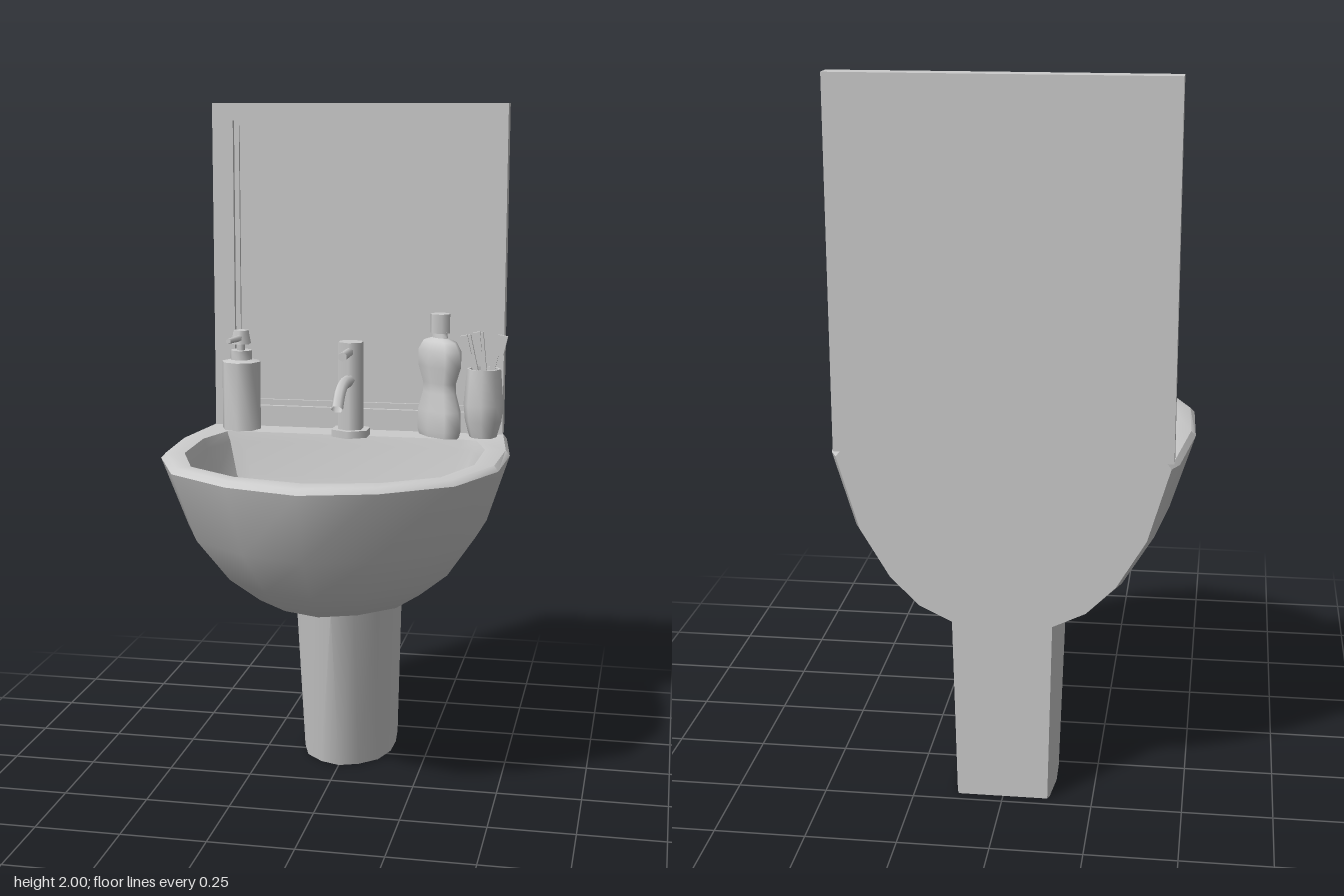
import * as THREE from 'three';
import { toCreasedNormals } from 'three/addons/utils/BufferGeometryUtils.js';

const material = new THREE.MeshStandardMaterial({ color: 0xcccccc });
const twoSided = new THREE.MeshStandardMaterial({ color: 0xcccccc, side: THREE.DoubleSide });

function add(parent, name, geometry, x = 0, y = 0, z = 0, mat = material) {
  const mesh = new THREE.Mesh(geometry, mat);
  mesh.name = name;
  mesh.position.set(x, y, z);
  parent.add(mesh);
  return mesh;
}

const group = (parent, name, x, y, z) => {
  const g = new THREE.Group();
  g.name = name;
  g.position.set(x, y, z);
  parent.add(g);
  return g;
};

const lathe = (profile, sides) =>
  toCreasedNormals(new THREE.LatheGeometry(profile.map(([r, y]) => new THREE.Vector2(r, y)), sides), 1.1);

// Mirrors a half outline (front to back, first point on the axis) into a closed ring
const fullRing = half => [...half, ...half.slice(1).reverse().map(([x, z]) => [-x, z])];

// Skins closed rings and caps both ends
function loft(rings) {
  const n = rings[0].length, pos = rings.flat(2), index = [];
  for (let i = 0; i < rings.length - 1; i++) {
    for (let j = 0; j < n; j++) {
      const a = i * n + j, b = i * n + (j + 1) % n;
      index.push(a, a + n, b, b, a + n, b + n);
    }
  }
  const last = (rings.length - 1) * n;
  for (let j = 1; j < n - 1; j++) {
    index.push(0, j, j + 1, last, last + j + 1, last + j);
  }
  const g = new THREE.BufferGeometry();
  g.setAttribute('position', new THREE.Float32BufferAttribute(pos, 3));
  g.setIndex(index);
  return toCreasedNormals(g, 0.85);
}

function makeBasin(root) {
  const outer = fullRing([[0, 0.47], [0.21, 0.41], [0.4, 0.275], [0.495, 0.06], [0.505, -0.17], [0.47, -0.43], [0.45, -0.47]]);
  const inner = fullRing([[0, 0.38], [0.2, 0.335], [0.35, 0.23], [0.42, 0.05], [0.425, -0.17], [0.385, -0.3], [0.34, -0.31]]);
  // Bowl ring: scale towards the drain, height
  const bowl = (s, y) => inner.map(([x, z]) => [x * s, y, -0.07 + (z + 0.07) * s]);
  // Shell ring: half width, front z, height; the back stays flat
  const shell = (w, f, y) => outer.map(([x, z]) => [x * w / 0.505, y, -0.47 + (z + 0.47) * (f + 0.47) / 0.94]);
  add(root, 'basin', loft([
    bowl(0.15, 0.62), bowl(0.5, 0.65), bowl(0.76, 0.74), bowl(0.92, 0.87), bowl(0.98, 0.97), bowl(1.01, 1),
    shell(0.49, 0.455, 1), shell(0.503, 0.47, 0.985), shell(0.435, 0.395, 0.78),
    shell(0.345, 0.28, 0.645), shell(0.255, 0.18, 0.565), shell(0.15, 0, 0.52),
  ]));
  add(root, 'pedestal', loft([shell(0.153, 0, 0.525), shell(0.14, -0.125, 0)]));
  add(root, 'drain', new THREE.CylinderGeometry(0.05, 0.055, 0.02, 6), 0, 0.63, -0.07);
}

function makeMirror(root) {
  const mirror = group(root, 'mirror', 0, 0, -0.472);
  const rect = (P, x, y0, y1) => {
    const p = new P();
    p.moveTo(-x, y0); p.lineTo(x, y0); p.lineTo(x, y1); p.lineTo(-x, y1); p.closePath();
    return p;
  };
  const ring = (x, y0, y1, hx, hy0, hy1, depth) => {
    const s = rect(THREE.Shape, x, y0, y1);
    s.holes.push(rect(THREE.Path, hx, hy0, hy1));
    return new THREE.ExtrudeGeometry(s, { depth, bevelEnabled: false });
  };
  add(mirror, 'mirrorFrame', ring(0.455, 1, 2, 0.39, 1.065, 1.947, 0.056));
  add(mirror, 'innerFrame', ring(0.39, 1.065, 1.947, 0.375, 1.083, 1.932, 0.04));
  add(mirror, 'glass', new THREE.BoxGeometry(0.78, 0.88, 0.03), 0, 1.506, 0.015);
}

function makeFaucet(root) {
  const faucet = group(root, 'faucet', 0, 1, -0.313);
  add(faucet, 'faucetBase', new THREE.CylinderGeometry(0.063, 0.063, 0.022, 6), 0, 0.011, 0);
  add(faucet, 'faucetColumn', new THREE.CylinderGeometry(0.041, 0.041, 0.29, 6), 0, 0.145, 0);
  const path = new THREE.CatmullRomCurve3([[0.175, 0.02], [0.175, 0.13], [0.158, 0.18], [0.118, 0.218]]
    .map(([y, z]) => new THREE.Vector3(0, y, z)));
  add(faucet, 'spout', new THREE.TubeGeometry(path, 8, 0.018, 6), 0, 0, 0, twoSided);
  const handle = add(faucet, 'handle', new THREE.CylinderGeometry(0.014, 0.014, 0.12, 6), 0, 0.262, 0.077);
  handle.rotation.x = Math.PI / 2;
}

function makeDispenser(root) {
  const soap = group(root, 'soapDispenser', -0.358, 1, -0.367);
  add(soap, 'soapBody', lathe([[0, 0], [0.061, 0], [0.061, 0.212], [0.034, 0.218], [0.034, 0.247], [0, 0.247]], 8));
  add(soap, 'pumpStem', new THREE.CylinderGeometry(0.013, 0.013, 0.04, 6), 0, 0.262, 0);
  add(soap, 'pumpHead', new THREE.CylinderGeometry(0.024, 0.032, 0.042, 6), 0, 0.288, 0);
  const nozzle = add(soap, 'nozzle', new THREE.CylinderGeometry(0.008, 0.011, 0.09, 6), 0.002, 0.286, 0.052);
  nozzle.rotation.set(Math.PI / 2, 0, 0.2);
  nozzle.position.x = -0.007;
}

function makeBottle(root) {
  const bottle = group(root, 'lotionBottle', 0.265, 1, -0.367);
  bottle.rotation.y = -0.75;
  const body = add(bottle, 'bottleBody', lathe([[0, 0], [0.085, 0], [0.092, 0.02], [0.09, 0.08], [0.07, 0.135],
    [0.07, 0.165], [0.09, 0.215], [0.09, 0.265], [0.07, 0.292], [0.033, 0.302], [0.03, 0.32], [0, 0.32]], 8));
  body.scale.z = 0.5;
  add(bottle, 'bottleCap', new THREE.CylinderGeometry(0.032, 0.032, 0.058, 6), 0, 0.346, 0);
}

function makeCup(root) {
  const cup = group(root, 'toothbrushCup', 0.4, 1, -0.372);
  add(cup, 'cup', lathe([[0, 0.012], [0.042, 0], [0.056, 0.05], [0.061, 0.1], [0.052, 0.21],
    [0.045, 0.21], [0.045, 0.03], [0, 0.03]], 8), 0, 0, 0, twoSided);
  // Brushes leaning against the rim: side, lean, depth
  for (const [side, lean, z] of [[-1, 0.22, 0.012], [1, 0.22, -0.005], [-1, 0.1, -0.02]]) {
    const brush = group(cup, 'toothbrush', -side * 0.015, 0.03, z);
    brush.rotation.z = -side * lean;
    add(brush, 'brushHandle', new THREE.BoxGeometry(0.016, 0.29, 0.012), 0, 0.145, 0);
    add(brush, 'bristles', new THREE.BoxGeometry(0.022, 0.06, 0.014), side * 0.012, 0.262, 0.006);
  }
}

export function createModel() {
  const root = new THREE.Group();
  root.name = 'washbasin';
  makeBasin(root);
  makeMirror(root);
  makeFaucet(root);
  makeDispenser(root);
  makeBottle(root);
  makeCup(root);
  return root;
}
